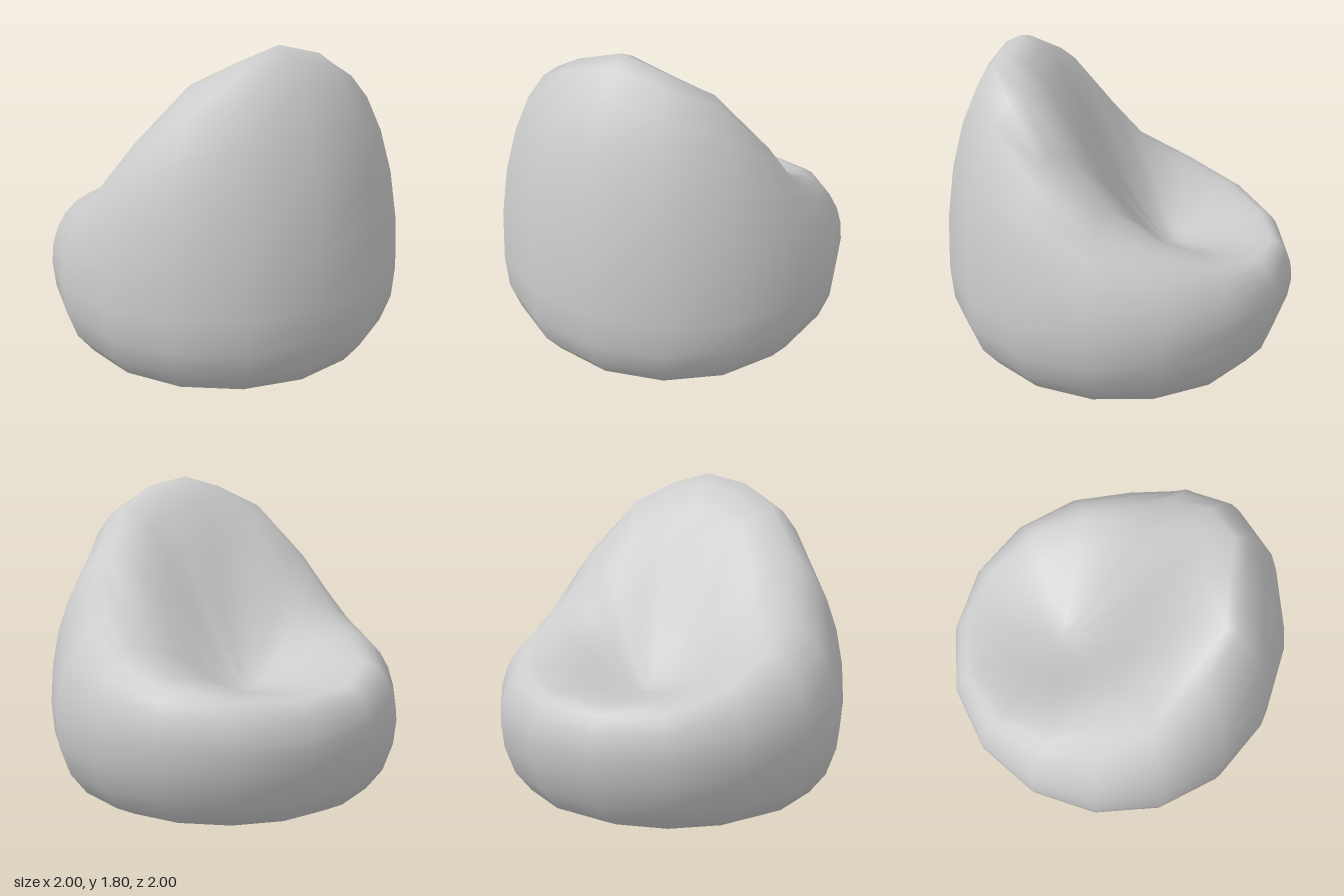
import * as THREE from 'three';

const SIDES = 16;
const TURN = THREE.MathUtils.degToRad(18.6); // seat looks along -z, turned slightly to +x

// Crest of the bag from the seat front (0) round to the peak of the backrest (8): [radius, height]
const CREST = [
  [0.87, 0.68], [0.86, 0.70], [0.81, 0.78], [0.71, 0.90], [0.62, 1.05],
  [0.66, 1.34], [0.63, 1.62], [0.62, 1.74], [0.56, 1.80],
];
// Rounded lower edge: [radius, height]
const FOOT = [[0.72, 0], [0.84, 0.06], [0.93, 0.175], [0.985, 0.33]];
const SEAT = { forward: 0.32, y: 0.64 }; // deepest point of the seat
const OUTER_STEPS = 6;
const INNER_STEPS = 8;

const onCircle = (a, r, y) => new THREE.Vector3(Math.sin(a) * r, y, -Math.cos(a) * r);

// One cross-section from the foot, over the crest and down to the seat
function section(j, seat) {
  const a = TURN + (j / SIDES) * Math.PI * 2;
  const k = Math.min(j, SIDES - j);
  const [rc, yc] = CREST[k];
  const belly = THREE.MathUtils.lerp(0.44, 0.54, k / 8);
  const pts = FOOT.map(([r, y]) => onCircle(a, r, y));
  // Quarter ellipse from the widest point up to the crest, a little flatter at the back
  for (let i = 0; i <= OUTER_STEPS; i++) {
    const t = (i / OUTER_STEPS) * Math.PI / 2;
    const bulge = Math.max(Math.cos(t), 0) ** (1 + 0.025 * k);
    pts.push(onCircle(a, rc + (1 - rc) * bulge, belly + (yc - belly) * Math.sin(t)));
  }
  // Soft S-curve from the rounded crest into the shallow seat
  const crest = onCircle(a, rc, yc);
  for (let i = 1; i < INNER_STEPS; i++) {
    const s = 1 - i / INNER_STEPS;
    const p = seat.clone().lerp(crest, s);
    p.y = THREE.MathUtils.lerp(seat.y, yc, s * s * (3 - 2 * s));
    pts.push(p);
  }
  return pts;
}

function bagGeometry() {
  const seat = onCircle(TURN, SEAT.forward, SEAT.y);
  const sections = Array.from({ length: SIDES }, (_, j) => section(j, seat));
  const rows = sections[0].length;
  const points = [...sections.flat(), seat];
  const index = [];
  for (let j = 0; j < SIDES; j++) {
    const p = j * rows;
    const q = ((j + 1) % SIDES) * rows;
    for (let i = 0; i < rows - 1; i++) {
      index.push(q + i, p + i, p + i + 1, q + i, p + i + 1, q + i + 1);
    }
    index.push(q + rows - 1, p + rows - 1, points.length - 1);
  }
  const geometry = new THREE.BufferGeometry().setFromPoints(points);
  geometry.setIndex(index);
  geometry.computeVertexNormals();
  return geometry;
}

export function createModel() {
  const group = new THREE.Group();
  group.name = 'beanBagChair';
  const material = new THREE.MeshStandardMaterial({ color: 0xcccccc });

  // Soft body with the hollowed seat
  const bag = new THREE.Mesh(bagGeometry(), material);
  bag.name = 'bag';

  // Flat underside
  const base = new THREE.Mesh(
    new THREE.CircleGeometry(FOOT[0][0], SIDES, TURN - Math.PI / 2).rotateX(Math.PI / 2),
    material,
  );
  base.name = 'base';

  group.add(bag, base);
  return group;
}
